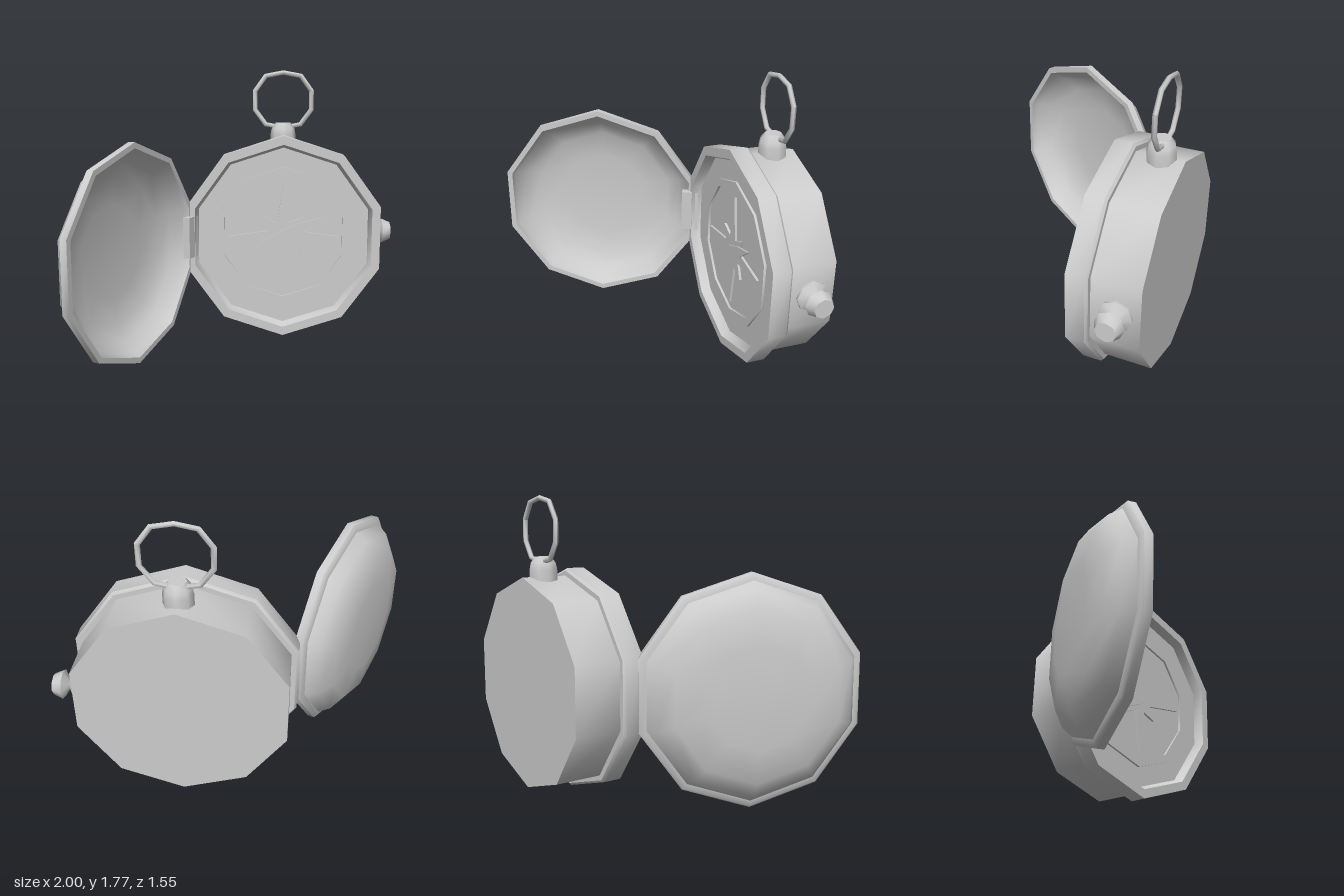
import * as THREE from 'three';
import { toCreasedNormals } from 'three/addons/utils/BufferGeometryUtils.js';

const metal = new THREE.MeshStandardMaterial({ color: 0xcccccc });
metal.name = 'greyMetal';

// Faceted turned part: profile of [radius, height] pairs, smooth around, sharp along
function turned(points, sides, crease) {
  const lathe = new THREE.LatheGeometry(points.map(([r, h]) => new THREE.Vector2(r, h)), sides);
  return toCreasedNormals(lathe, THREE.MathUtils.degToRad(crease));
}

function add(parent, name, geometry, x = 0, y = 0, z = 0) {
  const mesh = new THREE.Mesh(geometry, metal);
  mesh.name = name;
  mesh.position.set(x, y, z);
  parent.add(mesh);
  return mesh;
}

export function createModel() {
  const model = new THREE.Group();
  model.name = 'pocketCompass';
  const cx = 0.255, cy = 0.675, floorZ = -0.43, stemZ = -0.64;

  // Case with bezel, recessed dial and a raised dial ring
  const body = turned([
    [0, -0.775], [0.63, -0.775], [0.63, -0.495], [0.66, -0.495], [0.675, -0.48],
    [0.675, -0.37], [0.617, -0.37], [0.595, floorZ],
    [0.465, floorZ], [0.465, floorZ + 0.015], [0.415, floorZ + 0.015], [0.415, floorZ], [0, floorZ],
  ], 10, 40);
  body.rotateX(Math.PI / 2);
  add(model, 'case', body, cx, cy, 0);

  // Compass rose: four long and four short points
  const rose = new THREE.Shape();
  for (let i = 0; i < 16; i++) {
    const r = i % 4 === 0 ? 0.365 : i % 4 === 2 ? 0.185 : 0.1;
    const a = (i * Math.PI) / 8;
    rose[i ? 'lineTo' : 'moveTo'](r * Math.cos(a), r * Math.sin(a));
  }
  add(model, 'compassRose', new THREE.ExtrudeGeometry(rose, { depth: 0.015, bevelEnabled: false }), cx, cy, floorZ);

  // Lens-shaped needle
  const blade = new THREE.Shape();
  blade.moveTo(-0.29, 0);
  blade.quadraticCurveTo(0, -0.085, 0.29, 0);
  blade.quadraticCurveTo(0, 0.085, -0.29, 0);
  const needle = add(model, 'needle',
    new THREE.ExtrudeGeometry(blade, { depth: 0.012, bevelEnabled: false, curveSegments: 4 }), cx, cy, floorZ + 0.02);
  needle.rotation.z = 0.468;

  // Domed hollow lid, swung open
  const lidAngle = Math.atan2(-0.904, -0.428);
  const lid = turned([
    [0, 0.19], [0.3, 0.185], [0.47, 0.16], [0.56, 0.105], [0.62, 0.035], [0.64, 0],
    [0.675, 0], [0.675, 0.045], [0.662, 0.057], [0.63, 0.063],
    [0.585, 0.13], [0.49, 0.19], [0.3, 0.215], [0, 0.22],
  ], 10, 40);
  lid.rotateX(Math.PI / 2);
  add(model, 'lid', lid, -0.63, cy, 0.19).rotation.y = lidAngle;

  // Hinge block
  add(model, 'hinge', new THREE.BoxGeometry(0.11, 0.275, 0.05), -0.362, 0.678, -0.37).rotation.y = lidAngle;

  // Side crown, with a collar and a flared knob
  const crown = turned([
    [0, 0.84], [0.095, 0.84], [0.095, 0.868], [0.05, 0.893], [0.027, 0.908],
    [0.085, 0.942], [0.06, 1], [0, 1],
  ], 8, 50);
  crown.rotateZ(-Math.PI / 2);
  add(model, 'crown', crown, 0, cy, stemZ);

  // Top stem
  add(model, 'stem', turned([
    [0, 1.26], [0.085, 1.26], [0.085, 1.345], [0.077, 1.385], [0.05, 1.422], [0, 1.422],
  ], 8, 50), cx, 0, stemZ);

  // Hanging ring, ten sided and slightly squared off
  const bow = new THREE.TorusGeometry(0.186, 0.015, 6, 10);
  bow.rotateZ(Math.PI / 10);
  const p = bow.attributes.position;
  for (let i = 0; i < p.count; i++) {
    const k = Math.abs(p.getX(i)) > 0.05 ? 1.085 : 1;
    p.setXY(i, p.getX(i) * k, p.getY(i) * k);
  }
  bow.computeVertexNormals();
  add(model, 'hangingRing', bow, cx, 1.574, -0.655);

  return model;
}
